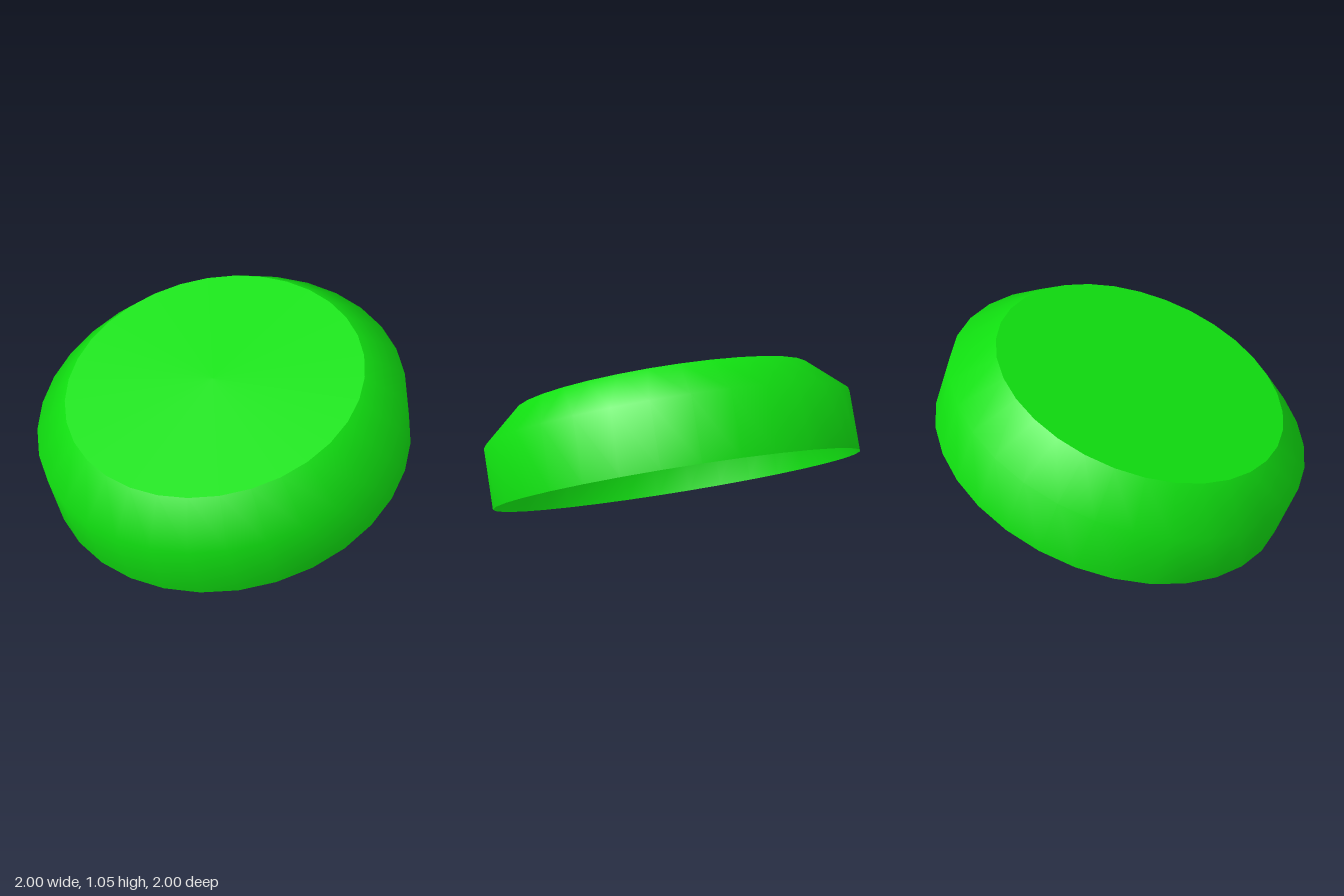
import * as THREE from 'three';

const SIDES = 32;
const RIM = 1.0, TOP = 0.8;          // radii
const WALL = 0.332, HEIGHT = 0.514;  // wall height and full height along the axis
const TILT = 0.3185;

export function createModel() {
  const model = new THREE.Group();
  model.name = 'tiltedCap';
  const material = new THREE.MeshStandardMaterial({ color: 0x10e010, side: THREE.DoubleSide });

  // Everything hangs on one tilted axis, with the open rim at its origin
  const cap = new THREE.Group();
  cap.name = 'cap';
  cap.position.set(0, 0.315, -0.0525);
  cap.rotation.x = TILT;
  model.add(cap);

  // Thin open shell: straight wall and bevelled shoulder, smoothly shaded
  const profile = [[RIM, 0], [RIM, WALL], [TOP, HEIGHT]].map(([r, y]) => new THREE.Vector2(r, y));
  const shell = new THREE.Mesh(new THREE.LatheGeometry(profile, SIDES), material);
  shell.name = 'wallAndShoulder';
  cap.add(shell);

  // Flat disc closing the top
  const disc = new THREE.Mesh(new THREE.CircleGeometry(TOP, SIDES), material);
  disc.name = 'topDisc';
  disc.rotation.x = -Math.PI / 2;
  disc.position.y = HEIGHT;
  cap.add(disc);

  return model;
}
